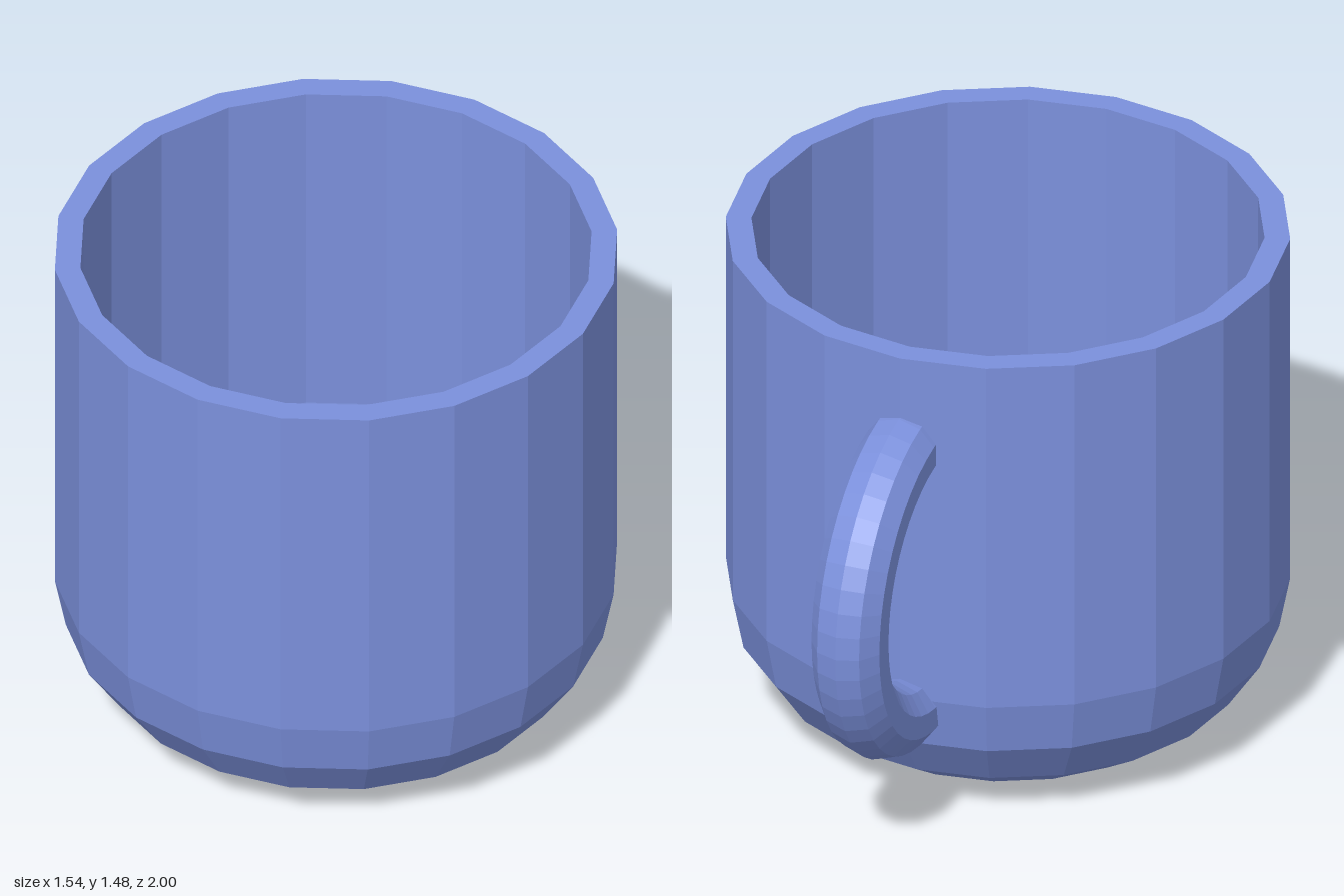
import * as THREE from 'three';

export function createModel() {
  const group = new THREE.Group();
  const glaze = new THREE.MeshStandardMaterial({ color: 0x7b90dc, flatShading: true });

  // Cup: one closed profile, up the outside, over the rim and down the inside
  const profile = [
    [0, 0], [0.36, 0], [0.515, 0.033], [0.648, 0.12], [0.74, 0.257], [0.77, 0.41], [0.77, 1.475],
    [0.7, 1.475], [0.7, 0.42], [0.675, 0.29], [0.6, 0.175], [0.485, 0.1], [0.345, 0.07], [0, 0.07],
  ].map(([r, y]) => new THREE.Vector2(r, y));
  const cup = new THREE.Mesh(new THREE.LatheGeometry(profile, 20), glaze);
  cup.name = 'cup';
  cup.position.z = 0.23;
  group.add(cup);

  // Handle: half ring at the back, its ends buried in the cup wall
  const ring = new THREE.TorusGeometry(0.415, 0.105, 10, 24, Math.PI);
  ring.rotateZ(-Math.PI / 2).rotateY(Math.PI / 2);
  const handle = new THREE.Mesh(ring, glaze);
  handle.name = 'handle';
  handle.position.set(0, 0.773, -0.48);
  group.add(handle);

  return group;
}
